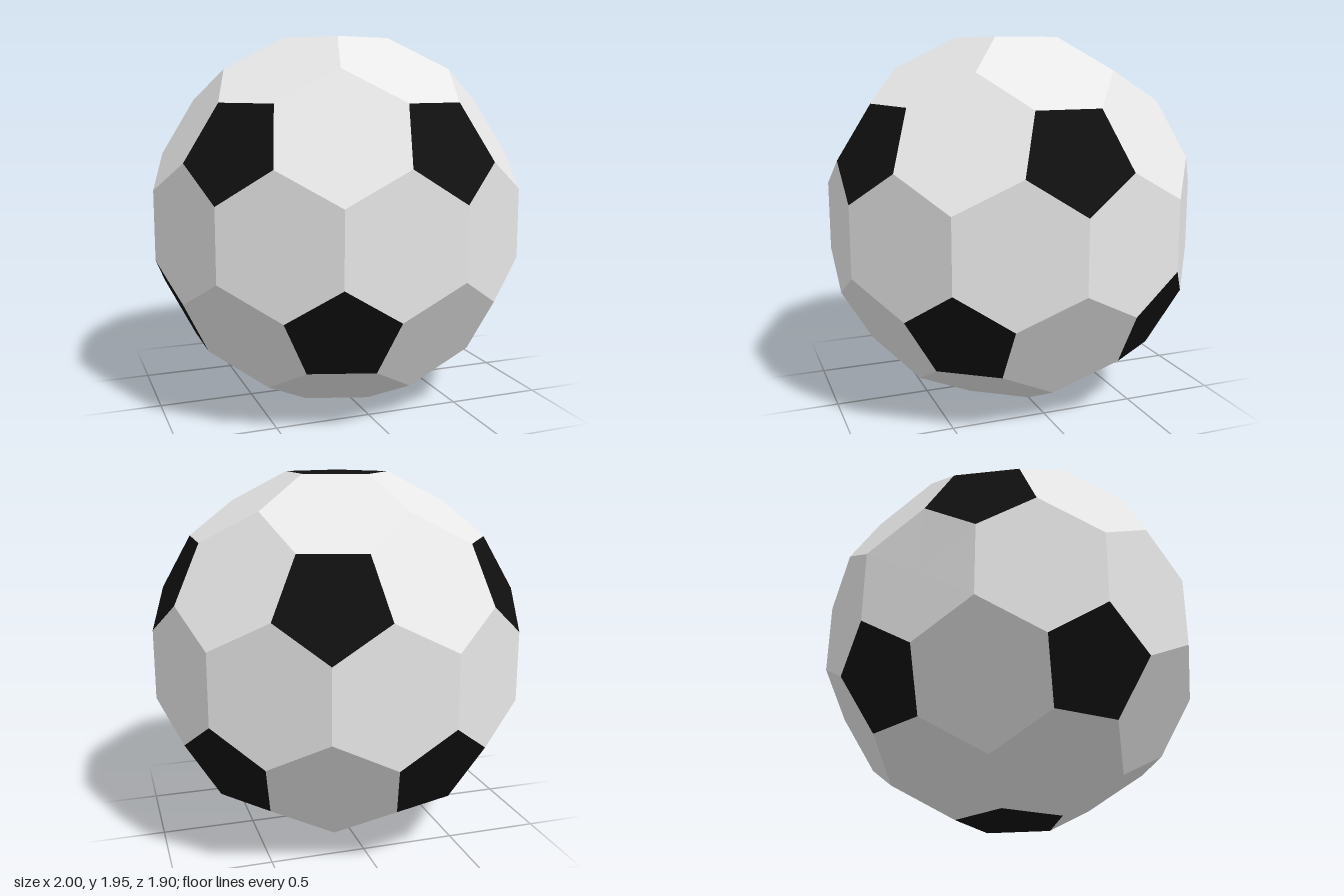
import * as THREE from 'three';
import { mergeGeometries } from 'three/addons/utils/BufferGeometryUtils.js';

const CORNER_ANGLE = THREE.MathUtils.degToRad(16.5); // pentagon centre to its corner
const CORNER_RADIUS = 1.017;
const JOINT_RADIUS = 1.0195; // where three hexagons meet; keeps the hexagons flat

// Flat polygon facing outward, its corners sorted counter-clockwise around its centre
function panel(points) {
  const centre = points.reduce((s, p) => s.add(p), new THREE.Vector3()).divideScalar(points.length);
  const n = centre.clone().normalize();
  const u = points[0].clone().sub(centre).projectOnPlane(n).normalize();
  const v = n.clone().cross(u);
  const angle = (p) => Math.atan2(p.clone().sub(centre).dot(v), p.clone().sub(centre).dot(u));
  const ring = [...points].sort((a, b) => angle(a) - angle(b));
  const tris = ring.flatMap((p, i) => [centre, p, ring[(i + 1) % ring.length]]);
  const geometry = new THREE.BufferGeometry().setFromPoints(tris);
  geometry.computeVertexNormals();
  return geometry;
}

export function createModel() {
  const white = new THREE.MeshStandardMaterial({ color: 0xf0f0f0 });
  white.name = 'white';
  const black = new THREE.MeshStandardMaterial({ color: 0x101010 });
  black.name = 'black';

  // Twelve pentagon directions: two poles and two staggered rings
  const dirs = [new THREE.Vector3(0, 1, 0), new THREE.Vector3(0, -1, 0)];
  const polar = Math.atan(2);
  for (let k = 0; k < 5; k++) {
    const az = (k * 2 * Math.PI) / 5;
    const up = new THREE.Vector3(
      Math.sin(polar) * Math.cos(az), Math.cos(polar), Math.sin(polar) * Math.sin(az));
    dirs.push(up, up.clone().negate());
  }
  const adjacent = (a, b) => a !== b && a.dot(b) > 0.4;

  const joint = (a, b, c) => a.clone().add(b).add(c).setLength(JOINT_RADIUS);
  const corner = (a, b, c) => {
    const side = joint(a, b, c).projectOnPlane(a).normalize();
    return a.clone().multiplyScalar(Math.cos(CORNER_ANGLE))
      .addScaledVector(side, Math.sin(CORNER_ANGLE)).multiplyScalar(CORNER_RADIUS);
  };

  const pentagons = [];
  const hexagons = [];
  dirs.forEach((a, i) => {
    const around = dirs.filter((d) => adjacent(a, d));
    const corners = [];
    around.forEach((b, j) => {
      around.slice(j + 1).forEach((c) => {
        if (adjacent(b, c)) corners.push(corner(a, b, c));
      });
      // One hexagon between each pair of neighbouring pentagons
      if (dirs.indexOf(b) > i) {
        const shared = around.filter((d) => adjacent(b, d));
        hexagons.push(panel(shared.flatMap((c) => [joint(a, b, c), corner(a, b, c), corner(b, a, c)])));
      }
    });
    pentagons.push(panel(corners));
  });

  const ball = new THREE.Group();
  ball.name = 'ball';
  for (const [name, parts, material] of [
    ['pentagonPanels', pentagons, black],
    ['hexagonPanels', hexagons, white],
  ]) {
    const mesh = new THREE.Mesh(mergeGeometries(parts), material);
    mesh.name = name;
    mesh.position.y = CORNER_RADIUS * Math.cos(CORNER_ANGLE); // rests on its lowest pentagon
    ball.add(mesh);
  }
  return ball;
}
